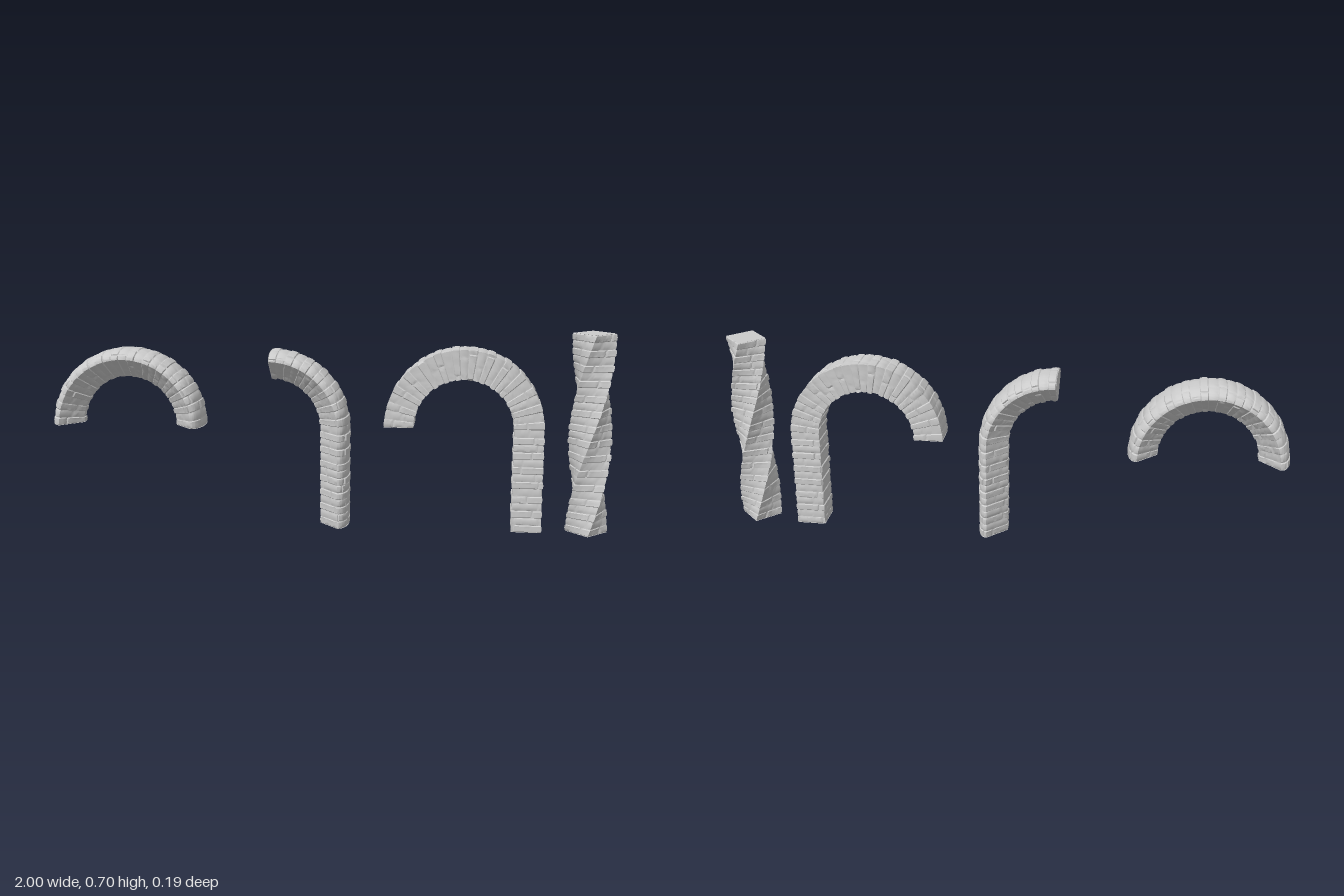
import * as THREE from 'three';
import { toCreasedNormals } from 'three/addons/utils/BufferGeometryUtils.js';

const COURSE = 0.026; // height of one brick course
const GROOVE = 0.0028; // mortar depth
const R = 0.2265; // centre line radius of the arches
const HALF = 0.0525; // half thickness of the masonry

// Small seeded random source
function seeded(seed) {
  let s = seed;
  return () => {
    s = (s * 16807) % 2147483647;
    return s / 2147483647;
  };
}

// Cross-sections as closed loops of [outward, sideways]
function squareSection(half, n = 16) {
  const pts = [];
  for (let side = 0; side < 4; side++) {
    const c = Math.round(Math.cos(side * Math.PI / 2));
    const s = Math.round(Math.sin(side * Math.PI / 2));
    for (let i = 0; i < n; i++) {
      const a = half, b = half * (2 * i / n - 1);
      pts.push([a * c - b * s, a * s + b * c]);
    }
  }
  return pts;
}

// Wedge: narrow inner edge, slanted flanks, domed outer face
function wedgeSection(width = 0.086, tip = 0.015, dome = 0.035) {
  const pts = [];
  const shoulder = HALF - dome;
  for (let i = 0; i < 32; i++) {
    const t = -Math.PI / 2 + Math.PI * i / 32;
    const c = Math.max(0, Math.cos(t)), s = Math.sin(t);
    pts.push([
      shoulder + dome * Math.pow(c, 0.9),
      width * Math.sign(s) * Math.pow(Math.abs(s), 0.9),
    ]);
  }
  const corners = [[shoulder, width], [-HALF, tip], [-HALF, -tip], [shoulder, -width]];
  [14, 5, 14].forEach((n, k) => {
    const [a0, b0] = corners[k], [a1, b1] = corners[k + 1];
    for (let i = 0; i < n; i++) pts.push([a0 + (a1 - a0) * i / n, b0 + (b1 - b0) * i / n]);
  });
  return pts;
}

// Straight pillar of height h that bends over into an arch towards -x
function archPath(cx, base, h, cz) {
  return (s, a, b) => {
    if (s <= h) return [cx + R + a, base + s, cz + b];
    const t = (s - h) / R;
    return [cx + (R + a) * Math.cos(t), base + h + (R + a) * Math.sin(t), cz + b];
  };
}

// Upright pillar turning a half turn over its height
function twistPath(cx, cz, height) {
  return (s, a, b) => {
    const t = (height - s) / height * Math.PI + Math.PI / 4;
    const c = Math.cos(t), n = Math.sin(t);
    return [cx + a * c - b * n, s, cz + a * n + b * c];
  };
}

// Sweep a section along a path in brick courses with sunken joints
function masonry(name, section, path, length, seed) {
  const rnd = seeded(seed);
  const cols = section.length;
  const courses = Math.round(length / COURSE);
  const pos = [], index = [];

  const addRing = (s, depthAt) => {
    section.forEach(([a, b], j) => {
      const k = 1 + depthAt(j) / 0.06;
      pos.push(...path(s, a * k, b * k));
    });
  };

  addRing(0, () => -0.001);
  for (let i = 0; i < courses; i++) {
    // Courses alternate slightly in and out; joints between bricks are sunken
    const shift = (i % 2 ? -0.0012 : 0.0008) + (rnd() - 0.5) * 0.001;
    const depth = [];
    let left = 3 + Math.floor(rnd() * 10), lift = 0;
    for (let j = 0; j < cols; j++) {
      if (left-- === 0) {
        depth.push(-GROOVE);
        left = 11 + Math.floor(rnd() * 9);
        lift = (rnd() - 0.5) * 0.0016;
      } else {
        depth.push(shift + lift + 0.0004 * Math.sin(j * 0.9 + i * 2.1));
      }
    }
    const tilt = (rnd() - 0.5) * 0.06;
    const at = (f) => (i + f) / courses * length;
    addRing(at(0.03), () => -GROOVE);
    addRing(at(0.13), (j) => depth[j] - 0.0004);
    addRing(at(0.5 + tilt), (j) => depth[j] + 0.0004);
    addRing(at(0.87), (j) => depth[j] - 0.0004);
    addRing(at(0.97), () => -GROOVE);
  }
  addRing(length, () => -0.001);

  const rows = courses * 5 + 2;
  for (let i = 0; i < rows - 1; i++) {
    for (let j = 0; j < cols; j++) {
      const p = i * cols + j, q = i * cols + (j + 1) % cols;
      index.push(p, p + cols, q, q, p + cols, q + cols);
    }
  }

  // Flat end faces
  const first = rows * cols, last = (rows - 1) * cols;
  pos.push(...path(0, 0, 0), ...path(length, 0, 0));
  for (let j = 0; j < cols; j++) {
    const k = (j + 1) % cols;
    index.push(first, j, k, first + 1, last + k, last + j);
  }

  const geo = new THREE.BufferGeometry();
  geo.setAttribute('position', new THREE.Float32BufferAttribute(pos, 3));
  geo.setIndex(index);
  const mesh = new THREE.Mesh(
    toCreasedNormals(geo, 0.6),
    new THREE.MeshStandardMaterial({ color: 0xcccccc })
  );
  mesh.name = name;
  return mesh;
}

export function createModel() {
  const group = new THREE.Group();
  group.name = 'brickArchSet';
  const wedge = wedgeSection();
  const square = squareSection(HALF);
  const halfTurn = Math.PI * R;

  group.add(
    masonry('wedgeArch', wedge, archPath(-0.721, 0.345, 0, -0.007), halfTurn, 11),
    masonry('wedgePillarWithHalfArch', wedge, archPath(-0.192, 0, 0.35, 0.003), 0.35 + halfTurn / 2, 23),
    masonry('squarePillarWithArch', square, archPath(0.489, 0, 0.364, -0.009), 0.364 + halfTurn, 37),
    masonry('twistedPillar', square, twistPath(0.926, -0.003, 0.703), 0.703, 51)
  );
  return group;
}
